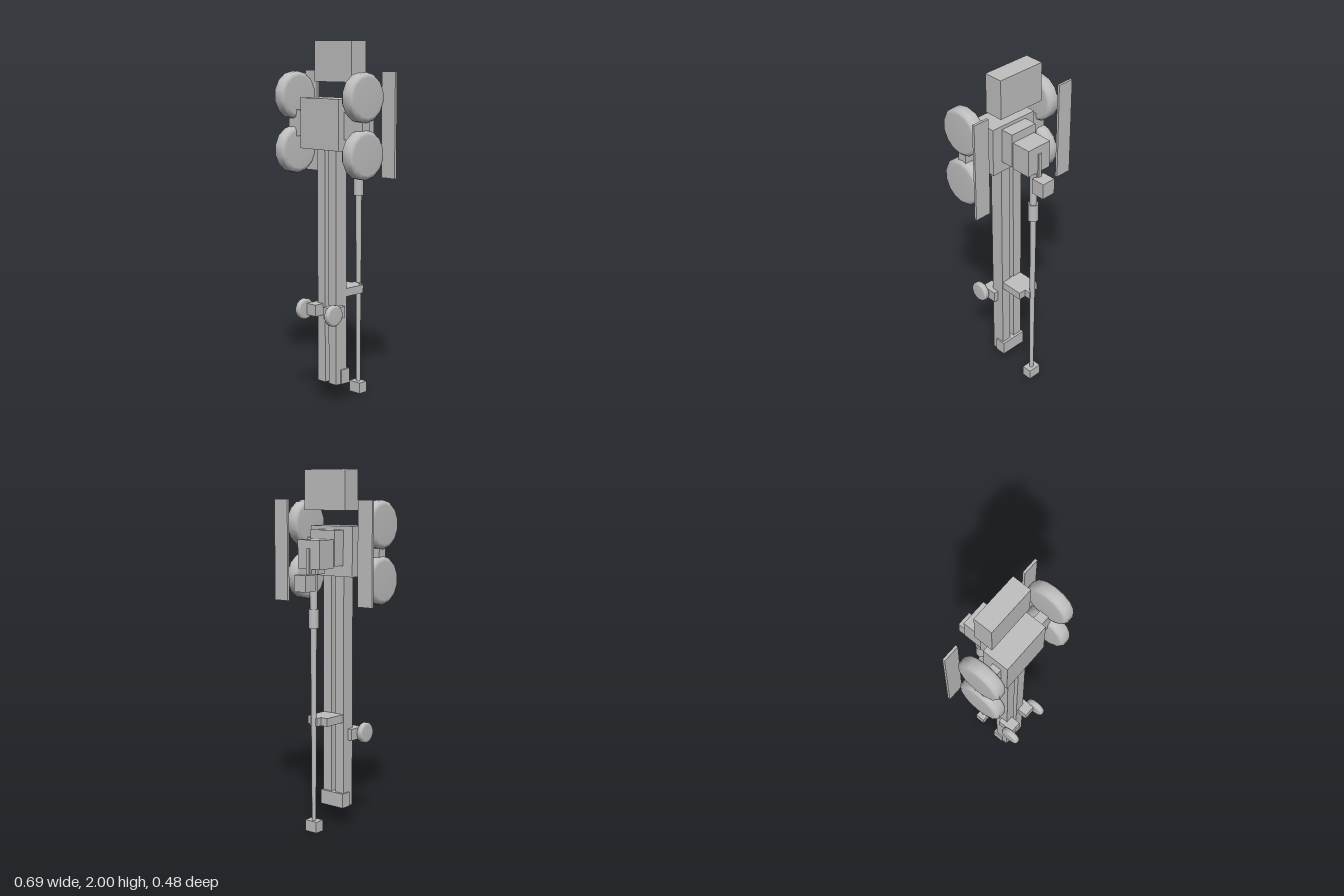
import * as THREE from 'three';

const grey = new THREE.MeshStandardMaterial({ color: 0xc0c0c0 });
grey.name = 'plain grey';

export function createModel() {
  const model = new THREE.Group();
  model.name = 'wheeledMast';

  const add = (name, geometry, x = 0, y = 0, z = 0) => {
    const mesh = new THREE.Mesh(geometry, grey);
    mesh.name = name;
    mesh.position.set(x, y, z);
    model.add(mesh);
    return mesh;
  };

  // Box given by its extents along each axis
  const box = (name, x0, x1, y0, y1, z0, z1) =>
    add(name, new THREE.BoxGeometry(x1 - x0, y1 - y0, z1 - z0),
      (x0 + x1) / 2, (y0 + y1) / 2, (z0 + z1) / 2);

  // The same box on both sides
  const pair = (name, x0, x1, y0, y1, z0, z1) => {
    box(name + 'Left', x0, x1, y0, y1, z0, z1);
    box(name + 'Right', -x1, -x0, y0, y1, z0, z1);
  };

  const rod = (name, rTop, rBottom, y0, y1, z) =>
    add(name, new THREE.CylinderGeometry(rTop, rBottom, y1 - y0, 12), 0, (y0 + y1) / 2, z);

  // Soft-edged wheel with its axle along x
  const wheel = (name, r, width, x, y, z) => {
    const h = width / 2;
    const profile = [
      [0, -h], [r * 0.8, -h], [r * 0.92, -h * 0.87], [r, -h * 0.55],
      [r, h * 0.55], [r * 0.92, h * 0.87], [r * 0.8, h], [0, h],
    ].map(([a, b]) => new THREE.Vector2(a, b));
    const g = new THREE.LatheGeometry(profile, 14);
    g.rotateZ(-Math.PI / 2).rotateX(Math.PI / 2);
    add(name, g, x, y, z);
  };

  // Upper housing, body and axle beam
  box('topHousing', -0.143, 0.143, 1.78, 2.0, -0.037, 0.073);
  box('body', -0.148, 0.148, 1.42, 1.695, 0.02, 0.175);
  box('axleBeam', -0.285, 0.285, 1.48, 1.625, 0.08, 0.135);
  box('backPlate', -0.085, 0.085, 1.48, 1.675, -0.055, 0.03);

  // Side panels
  pair('sidePanel', 0.25, 0.346, 1.272, 1.838, -0.062, -0.048);

  // Main and small wheels
  for (const s of [1, -1]) {
    const side = s > 0 ? 'Left' : 'Right';
    wheel('upperWheel' + side, 0.132, 0.079, s * 0.2625, 1.704, 0.109);
    wheel('lowerWheel' + side, 0.132, 0.079, s * 0.2625, 1.404, 0.109);
    wheel('smallWheel' + side, 0.059, 0.036, s * 0.1155, 0.525, 0.182);
  }
  pair('smallWheelBlock', 0.03, 0.1, 0.493, 0.558, 0.08, 0.18);

  // Twin rails tied together at the foot
  pair('rail', 0.014, 0.073, 0.108, 1.5, 0.04, 0.12);
  box('footCrossbar', -0.081, 0.081, 0.108, 0.19, 0.025, 0.088);

  // Head behind the body
  box('head', -0.077, 0.077, 1.468, 1.625, -0.17, -0.055);
  box('headUnderplate', -0.04, 0.04, 1.44, 1.47, -0.138, -0.085);
  box('headSocket', -0.02, 0.02, 1.405, 1.47, -0.17, -0.133);
  box('headStrip', -0.01, 0.01, 1.42, 1.58, -0.178, -0.169);
  box('rearBlock', -0.042, 0.042, 1.35, 1.44, -0.242, -0.162);

  // Long rear rod with its sleeve, bracket and foot
  rod('upperRod', 0.021, 0.021, 1.24, 1.47, -0.13);
  rod('sleeve', 0.029, 0.029, 1.145, 1.25, -0.13);
  rod('longRod', 0.018, 0.012, 0.05, 1.15, -0.13);
  box('rodBracket', -0.069, 0.069, 0.6, 0.646, -0.098, 0.045);
  box('rodClamp', -0.025, 0.025, 0.6, 0.646, -0.132, -0.095);
  box('rodFoot', -0.04, 0.04, 0, 0.063, -0.158, -0.1);

  return model;
}
